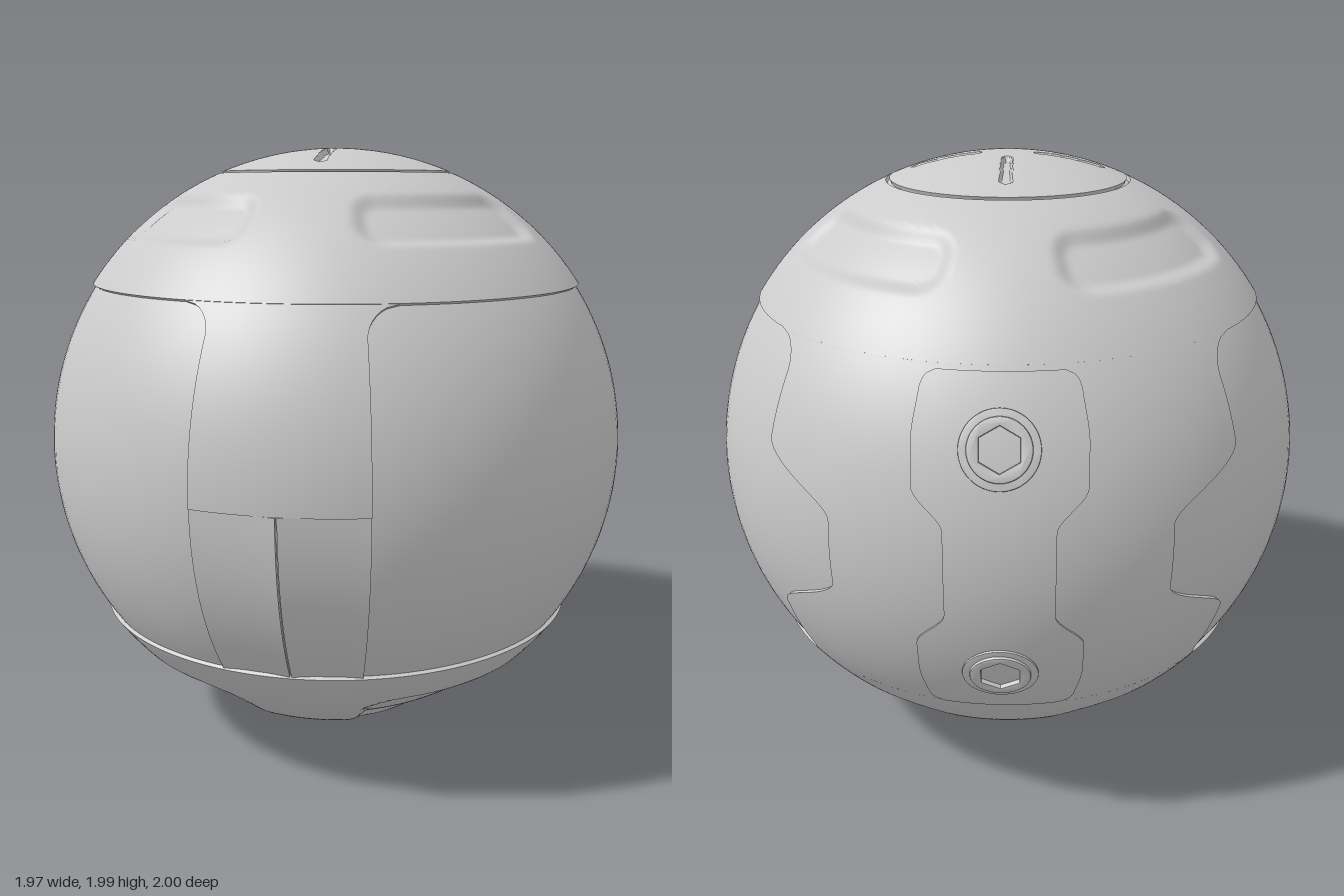
import * as THREE from 'three';
import { toCreasedNormals } from 'three/addons/utils/BufferGeometryUtils.js';
import { ParametricGeometry } from 'three/addons/geometries/ParametricGeometry.js';

const R = 0.996, CY = 1.003, INNER = 0.965, PANEL = 0.984;
const PI = Math.PI, deg = PI / 180;
const { clamp, lerp, smoothstep } = THREE.MathUtils;
const elev = (y) => Math.asin((y - CY) / R);
const material = new THREE.MeshStandardMaterial({ color: 0xcccccc });

// Unit direction: azimuth 0 faces the front, elevation 0 is the equator
const direction = (az, el) =>
  new THREE.Vector3(Math.sin(az) * Math.cos(el), Math.sin(el), Math.cos(az) * Math.cos(el));

// Piece of spherical shell with rims turned inwards on all four sides
function patch(name, e0, e1, edges, radius, nu, nv) {
  const geo = new ParametricGeometry((u, v, target) => {
    const i = Math.round(u * (nu + 2)) - 1, j = Math.round(v * (nv + 2)) - 1;
    const rim = i < 0 || i > nu || j < 0 || j > nv;
    const el = lerp(e0, e1, clamp(j / nv, 0, 1));
    const [a0, a1] = edges(el);
    const az = lerp(a0, a1, clamp(i / nu, 0, 1));
    target.copy(direction(az, el)).multiplyScalar(rim ? INNER : radius(az, el));
    target.y += CY;
  }, nu + 2, nv + 2);
  const mesh = new THREE.Mesh(toCreasedNormals(geo, 0.6), material);
  mesh.name = name;
  return mesh;
}

const fullTurn = () => [-PI, PI];

// Signed distance to a rounded rectangle
function roundedRect(x, y, hx, hy, r) {
  const dx = Math.abs(x) - hx + r, dy = Math.abs(y) - hy + r;
  return Math.hypot(Math.max(dx, 0), Math.max(dy, 0)) + Math.min(Math.max(dx, dy), 0) - r;
}
const dent = (d, soft, depth) => depth * (1 - smoothstep(d, -soft, soft));

// Azimuth offset from the nearest of n evenly spaced centres
function fold(az, n, start) {
  const step = 2 * PI / n, k = (az - start) / step;
  return (k - Math.round(k)) * step;
}

// Quarter-round widening as the distance t to an edge goes from 1 to 0
const fillet = (t) => 1 - Math.sqrt(1 - (1 - clamp(t, 0, 1)) ** 2);

// Round bolt head with hexagonal socket
function bolt(el) {
  const group = new THREE.Group();
  group.name = 'bolt';
  const ring = (name, outer, depth, bevel) => {
    const shape = new THREE.Shape().absarc(0, 0, outer - bevel, 0, 2 * PI);
    const hex = [];
    for (let k = 0; k < 6; k++) {
      const a = k * PI / 3 + PI / 6;
      hex.push(new THREE.Vector2(0.07 * Math.cos(a), 0.07 * Math.sin(a)));
    }
    shape.holes.push(new THREE.Path(hex));
    const geo = new THREE.ExtrudeGeometry(shape, {
      depth, bevelSize: bevel, bevelThickness: bevel, bevelSegments: 2, curveSegments: 24,
    });
    const mesh = new THREE.Mesh(toCreasedNormals(geo, 0.5), material);
    mesh.name = name;
    group.add(mesh);
  };
  ring('boltFlange', 0.112, 0.002, 0.003);
  ring('boltHead', 0.09, 0.009, 0.005);
  const dir = direction(PI, el);
  group.position.copy(dir).multiplyScalar(1.0).add(new THREE.Vector3(0, CY, 0));
  group.lookAt(group.position.clone().add(dir));
  return group;
}

export function createModel() {
  const model = new THREE.Group();
  const yTop = elev(1.56), yLow = elev(0.45), capEdge = Math.acos(0.397 / R);

  // Recessed side panels, one band running behind the strips
  model.add(patch('sidePanels', -0.66, 0.66, fullTurn, () => PANEL, 128, 40));

  // Upper shell with four soft dents
  model.add(patch('upperShell', yTop, capEdge, fullTurn, (az, el) => {
    const x = fold(az, 4, PI / 4) * Math.cos(0.9);
    return R - dent(roundedRect(x, el - 0.9, 0.32, 0.095, 0.07), 0.03, 0.024);
  }, 280, 48));

  // Lower shell with a wide recess on each side
  model.add(patch('lowerShell', -PI / 2, yLow, fullTurn, (az, el) => {
    const x = fold(az, 2, PI / 2) * 0.55;
    return R - dent(roundedRect(x, el + 0.977, 0.69, 0.205, 0.1), 0.03, 0.027);
  }, 200, 60));

  // Top cap with four radial slots, and the groove around it
  model.add(patch('capGroove', capEdge - 0.05, capEdge + 0.06, fullTurn, () => PANEL, 96, 2));
  model.add(patch('topCap', Math.acos(0.385 / R), PI / 2, fullTurn, (az, el) => {
    const r = R * Math.cos(el), a = fold(az, 4, 0);
    const d = roundedRect(r * Math.sin(a), r * Math.cos(a) - 0.2, 0.015, 0.11, 0.015);
    return R + 0.001 - dent(d, 0.004, 0.018);
  }, 256, 56));

  // Front strip: smooth above the equator
  model.add(patch('frontStrip', 0, yTop, (el) => {
    const w = (15 + 7 * fillet((0.557 - R * Math.sin(el)) / 0.09)) * deg;
    return [-w, w];
  }, () => R - 0.002, 16, 60));

  // Front strip: two flat faces meeting at a split ridge below the equator
  const A = 15 * deg, ridge = 1.0, side = 0.991;
  const wedge = (az, el) => {
    const a = Math.abs(az), r0 = ridge - 0.008 * smoothstep(-el, 0.2, 0.59);
    return r0 * side * Math.sin(A) / (r0 * Math.sin(a) + side * Math.sin(A - a));
  };
  model.add(patch('frontWedgeLeft', yLow, 0, () => [0.003, A], wedge, 6, 16));
  model.add(patch('frontWedgeRight', yLow, 0, () => [-A, -0.003], wedge, 6, 16));

  // Back strip, notched wider at the equator
  model.add(patch('backStrip', yLow, yTop, (el) => {
    const d = Math.abs(R * Math.sin(el));
    let w = lerp(60.5, 45, smoothstep(d, 0.1, 0.28));
    w = lerp(29.5, 45, (60.5 - w) / 15.5) + 8 * fillet((0.557 - d) / 0.1);
    return [PI - w * deg, PI + w * deg];
  }, () => R, 32, 100));

  // Back plate, waisted between its two bolts
  model.add(patch('backPlate', -0.575, 0.575, (el) => {
    const d = Math.abs(R * Math.sin(el));
    const half = 0.155 + 0.085 * smoothstep(d, 0.13, 0.25)
      - 0.025 * smoothstep(d, 0.36, 0.54) - 0.045 * fillet((0.5418 - d) / 0.05);
    const w = Math.asin(half / (R * Math.cos(el)));
    return [PI - w, PI + w];
  }, () => R + 0.006, 16, 90));
  for (const s of [-1, 1]) model.add(bolt(s * 0.365));

  return model;
}
